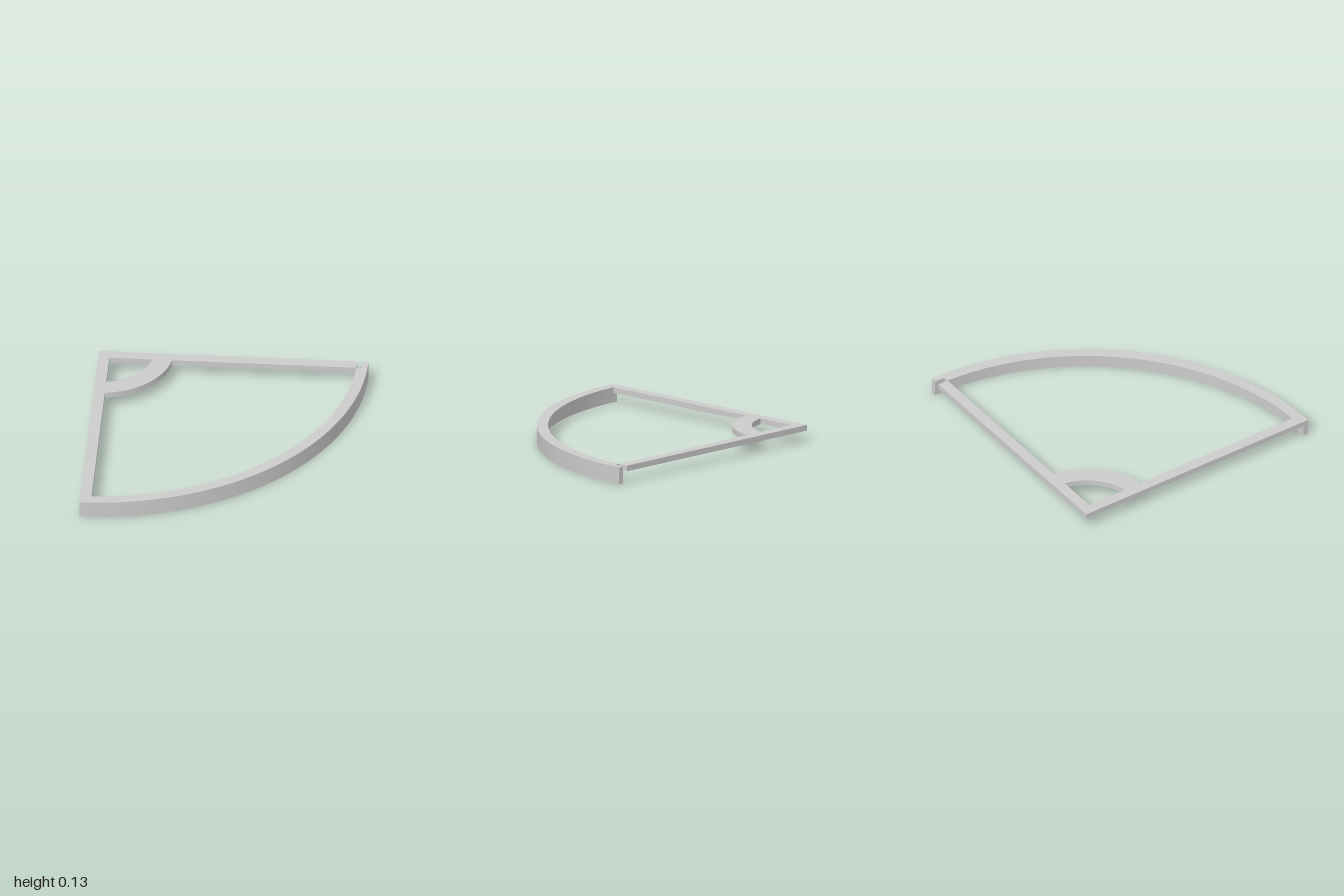
import * as THREE from 'three';
import { toCreasedNormals } from 'three/addons/utils/BufferGeometryUtils.js';

const TOP = 0.128;    // overall height
const PLATE = 0.043;  // thickness of the flat frame
const BAR = 0.083;    // width of the straight bars
const R = 2;          // outer radius, measured from the back right corner
const LIP = 0.043;    // thickness of the hanging lip

export function createModel() {
  const model = new THREE.Group();
  const material = new THREE.MeshStandardMaterial({ color: 0xcccccc });

  const add = (name, geometry) => {
    const mesh = new THREE.Mesh(geometry, material);
    mesh.name = name;
    model.add(mesh);
  };

  // Quarter ring hanging down from the top, its ends cut straight at the given margin
  const arc = (name, inner, outer, depth, margin, segments) => {
    const shape = new THREE.Shape();
    const ends = (r) => [Math.asin(margin / r), Math.acos(margin / r)];
    const [a, b] = ends(outer);
    const [c, d] = ends(inner);
    shape.absarc(0, 0, outer, a, b, false);
    shape.absarc(0, 0, inner, d, c, true);
    const geometry = new THREE.ExtrudeGeometry(shape, { depth, bevelEnabled: false, curveSegments: segments });
    geometry.rotateX(Math.PI / 2).translate(-1, TOP, -1);
    add(name, toCreasedNormals(geometry, 0.5));
  };

  // Straight bar whose corner nearest the pivot is at the given offset
  const bar = (name, width, length, z) => {
    const geometry = new THREE.BoxGeometry(width, PLATE, length);
    geometry.translate(-1 + width / 2, TOP - PLATE / 2, -1 + z + length / 2);
    add(name, geometry);
  };

  // Two bars meeting at the corner; the back one stops short of the lip
  bar('backBar', R - BAR - 0.002, BAR, 0);
  bar('sideBar', BAR, R - LIP - BAR, BAR);

  // Curved rim: flat ledge inside a taller lip
  arc('rimLedge', R - BAR, R - LIP, PLATE, BAR, 64);
  arc('rimLip', R - LIP, R, TOP, 0, 64);

  // Small curved brace across the corner
  arc('cornerBrace', 0.41, 0.554, PLATE, BAR, 32);

  return model;
}
